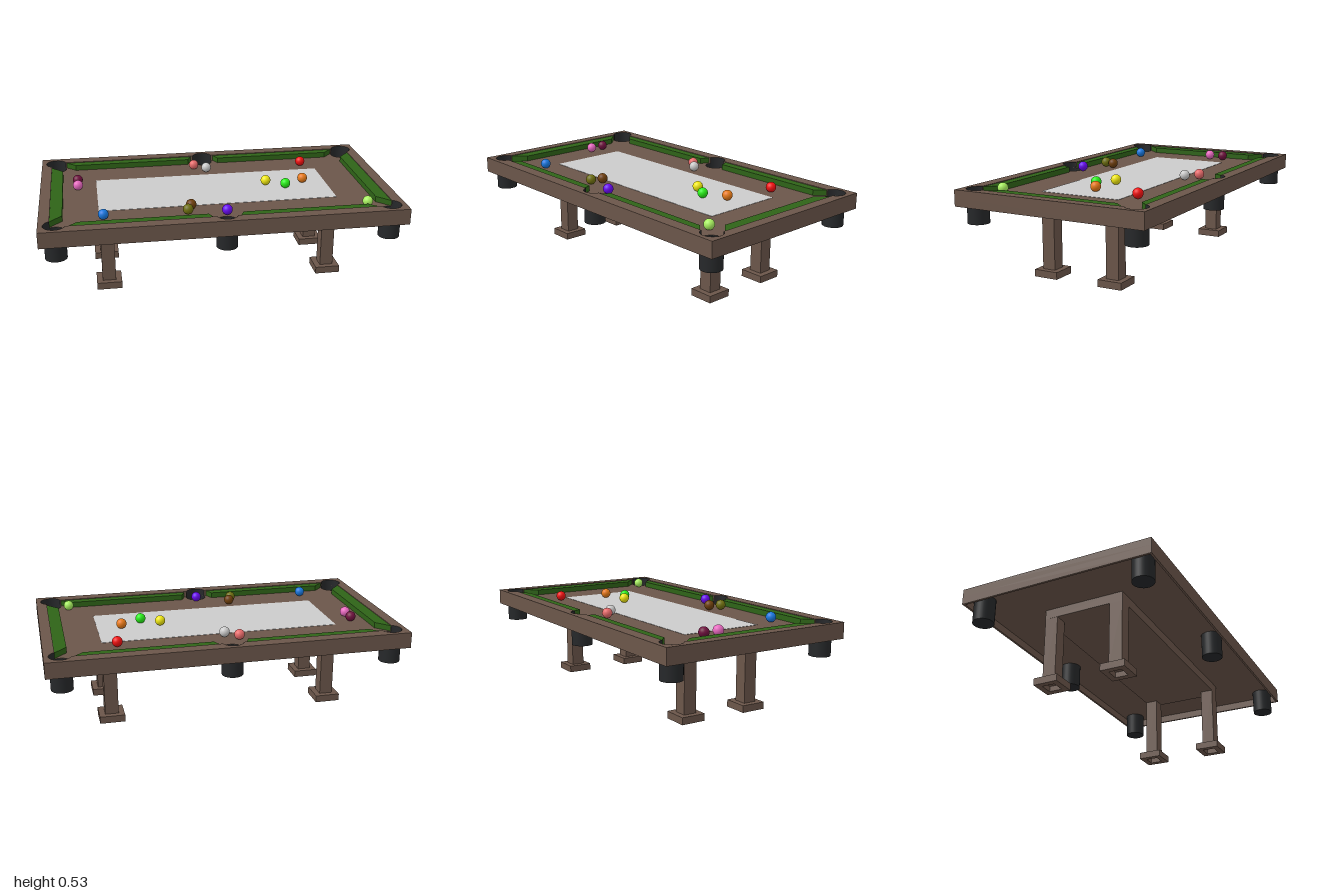
import * as THREE from 'three';

const mat = (color, side = THREE.FrontSide) => new THREE.MeshStandardMaterial({ color, side });
const wood = mat(0x6b564a);
const felt = mat(0x2e6317);
const liner = mat(0x26282a, THREE.DoubleSide);
const grey = mat(0xcccccc);

const BED = 0.469, RIM = 0.505, SKIRT = 0.415, POCKET = 0.32;
const HX = 1, HZ = 0.56;            // table half size
const IX = 0.94, IZ = 0.49;         // inner edge of the rails
const PX = 0.914, PZ = 0.475, PR = 0.06;

// Pockets in counter-clockwise order, with the arc each one cuts out of the rails
const a = Math.atan2(IZ - PZ, Math.sqrt(PR ** 2 - (IZ - PZ) ** 2));
const b = Math.acos((IX - PX) / PR);
const pockets = [
  [PX, PZ, -b, Math.PI - a], [0, PZ, a, Math.PI - a], [-PX, PZ, a, Math.PI + b],
  [-PX, -PZ, Math.PI - b, 2 * Math.PI - a], [0, -PZ, Math.PI + a, 2 * Math.PI - a],
  [PX, -PZ, Math.PI + a, 2 * Math.PI + b],
];

function polygon(points) {
  return new THREE.Shape(points.map(([x, y]) => new THREE.Vector2(x, y)));
}

function rect(hx, hy) {
  return polygon([[-hx, -hy], [hx, -hy], [hx, hy], [-hx, hy]]);
}

// Lays a flat outline down and raises it from y0 to y1
function slab(shape, y0, y1) {
  return new THREE.ExtrudeGeometry(shape, { depth: y1 - y0, bevelEnabled: false, curveSegments: 24 })
    .rotateX(-Math.PI / 2).translate(0, y0, 0);
}

export function createModel() {
  const group = new THREE.Group();
  function add(name, geometry, material, x = 0, y = 0, z = 0) {
    const mesh = new THREE.Mesh(geometry, material);
    mesh.name = name;
    mesh.position.set(x, y, z);
    group.add(mesh);
    return mesh;
  }

  // Rails: one flat frame with the pocket arcs cut from its inner edge
  const rails = rect(HX, HZ);
  const opening = new THREE.Path();
  pockets.forEach(([x, y, start, end]) => opening.absarc(x, y, PR, start, end, false));
  opening.closePath();
  rails.holes.push(opening);
  add('rails', slab(rails, BED - 0.009, RIM), wood);

  // Thin skirt around the hollow underside
  const skirt = rect(HX, HZ);
  skirt.holes.push(rect(HX - 0.012, HZ - 0.012));
  add('skirt', slab(skirt, SKIRT, BED), wood);

  // Playing bed with pocket holes
  const bed = rect(HX - 0.012, HZ - 0.012);
  pockets.forEach(([x, y]) => {
    const hole = new THREE.Path();
    hole.absarc(x, y, PR, 0, Math.PI * 2, false);
    bed.holes.push(hole);
  });
  add('bed', slab(bed, BED - 0.009, BED), wood);
  add('bedPanel', new THREE.BoxGeometry(1.355, 0.006, 0.475), grey, 0, BED - 0.0015, 0);

  // Pocket cups: tube, floor and the lining of the rail cut
  const r = PR - 0.001;
  pockets.forEach(([x, y, start, end]) => {
    const h = BED - POCKET, lip = RIM - BED;
    add('pocketCup', new THREE.CylinderGeometry(r, r, h, 32, 1, true), liner, x, POCKET + h / 2, -y);
    add('pocketFloor', new THREE.CircleGeometry(r, 32).rotateX(-Math.PI / 2), liner, x, POCKET, -y);
    add('pocketLining', new THREE.CylinderGeometry(r, r, lip, 24, 1, true, start + Math.PI / 2, end - start),
      liner, x, BED + lip / 2, -y);
  });

  // Cushions: four along the long sides, two across the ends
  const longCushion = [[0.07, 0.495], [0.095, 0.438], [0.795, 0.438], [0.855, 0.495]];
  const endCushion = [[0.945, -0.42], [0.945, 0.42], [0.873, 0.343], [0.873, -0.343]];
  for (const sx of [-1, 1]) {
    const mirrored = (pts, sy) => polygon(pts.map(([x, y]) => [x * sx, y * sy]));
    for (const sz of [-1, 1]) add('longCushion', slab(mirrored(longCushion, sz), BED, RIM - 0.004), felt);
    add('endCushion', slab(mirrored(endCushion, 1), BED, RIM - 0.004), felt);
  }

  // Base block under the bed, with four legs on hollow square feet
  add('baseBlock', new THREE.BoxGeometry(1.355, 0.058, 0.475), wood, 0, 0.434, 0);
  const foot = rect(0.071, 0.071);
  foot.holes.push(rect(0.037, 0.037));
  const footGeometry = slab(foot, 0, 0.04);
  const legGeometry = new THREE.BoxGeometry(0.076, 0.375, 0.076);
  for (const x of [-0.639, 0.639]) {
    for (const z of [-0.199, 0.199]) {
      add('leg', legGeometry, wood, x, 0.2175, z);
      add('foot', footGeometry, wood, x, 0, z);
    }
  }

  // Balls: x, z, colour
  const R = 0.029;
  const ballGeometry = new THREE.SphereGeometry(R, 24, 16);
  const balls = [
    [-0.07, -0.35, 0xe86a6a], [0, -0.29, 0xcccccc], [0.6, -0.31, 0xf01010],
    [-0.785, -0.195, 0x70103f], [-0.785, -0.105, 0xe868c0], [0.315, -0.015, 0xf0e810],
    [0.54, -0.02, 0xe87a18], [0.42, 0.05, 0x28f018], [-0.17, 0.285, 0x70400c],
    [-0.195, 0.35, 0x707010], [-0.655, 0.35, 0x1878e0], [0.015, 0.39, 0x6808f0],
    [0.81, 0.39, 0xa8f060],
  ];
  for (const [x, z, color] of balls) add('ball', ballGeometry, mat(color), x, BED + R, z);
  add('pocketedBall', ballGeometry, mat(0x181818), 0, POCKET + R + 0.01, 0.465);

  return group;
}
